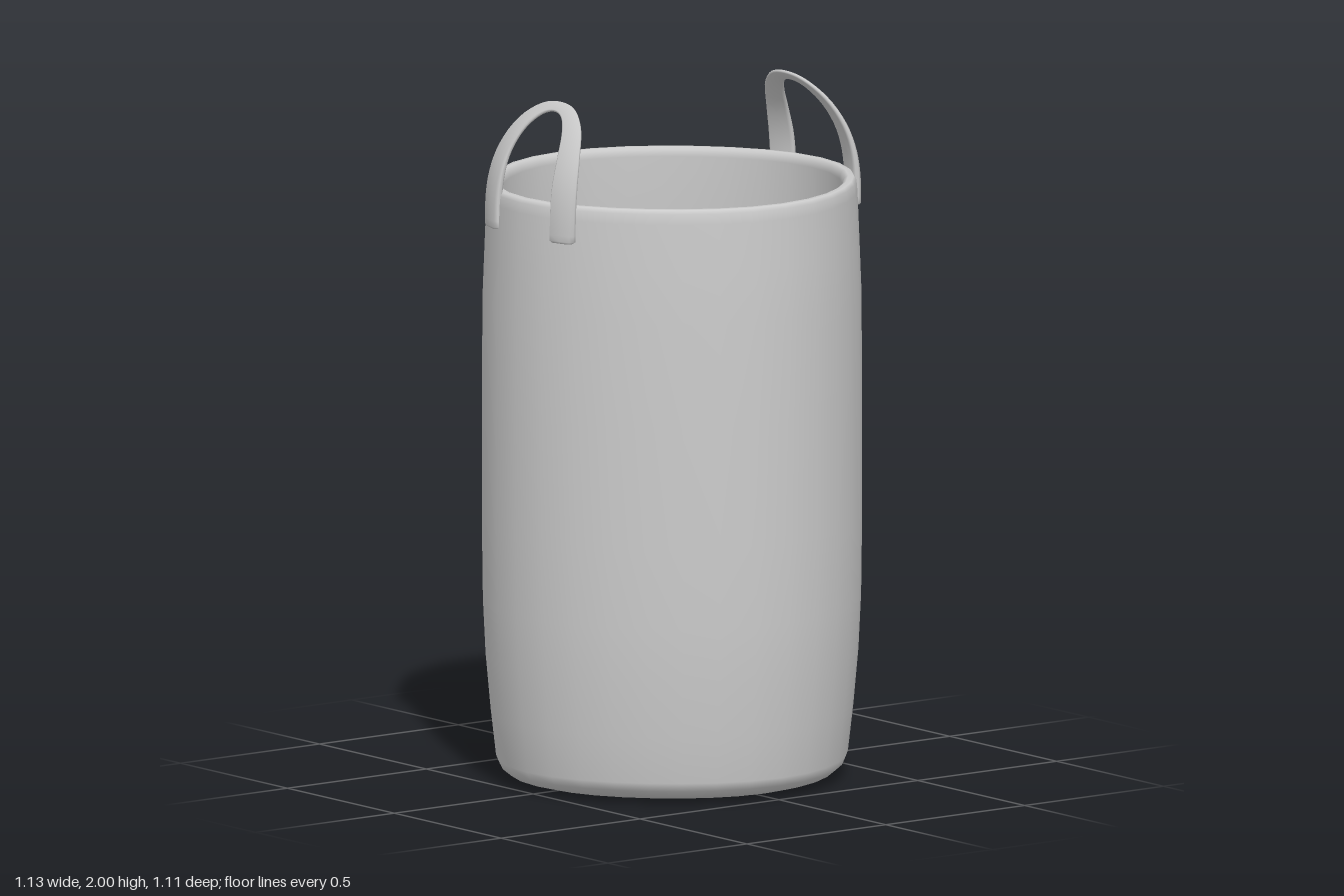
import * as THREE from 'three';
import { mergeVertices } from 'three/addons/utils/BufferGeometryUtils.js';

const material = new THREE.MeshStandardMaterial({ color: 0xcccccc, side: THREE.DoubleSide });

// Hollow bin: outer wall, rolled rim, inner wall and floor in one profile
function createBasket() {
  const profile = [
    [0, 0], [0.36, 0], [0.44, 0.008], [0.485, 0.02], [0.51, 0.04], [0.521, 0.065],
    [0.537, 0.2], [0.552, 0.36], [0.56, 0.52], [0.563, 0.75], [0.563, 1.1], [0.561, 1.4],
    [0.555, 1.55], [0.549, 1.69], [0.546, 1.72], [0.538, 1.731], [0.522, 1.732],
    [0.511, 1.725], [0.506, 1.705], [0.513, 1.55], [0.52, 1.4], [0.523, 1.1], [0.523, 0.75],
    [0.517, 0.52], [0.507, 0.36], [0.49, 0.2], [0.47, 0.1], [0.45, 0.065], [0.42, 0.05], [0, 0.045],
  ].map(([r, y]) => new THREE.Vector2(r, y));
  let geometry = new THREE.LatheGeometry(profile, 32);

  // Slightly squared plan: pulled in at the diagonals, a touch shallower in z
  const p = geometry.attributes.position;
  for (let i = 0; i < p.count; i++) {
    const x = p.getX(i), z = p.getZ(i);
    const pull = 1 - 0.033 * Math.sin(2 * Math.atan2(x, z)) ** 2;
    p.setXYZ(i, x * pull, p.getY(i), z * pull * 0.982);
  }
  geometry.deleteAttribute('uv');
  geometry.deleteAttribute('normal');
  geometry = mergeVertices(geometry);
  geometry.computeVertexNormals();

  const mesh = new THREE.Mesh(geometry, material);
  mesh.name = 'basket';
  return mesh;
}

// Symmetrical arch through (z, y) points given from one foot to the top
function archCurve(half) {
  const mirrored = half.slice(0, -1).reverse().map(([z, y]) => [-z, y]);
  return new THREE.CatmullRomCurve3([...half, ...mirrored].map(([z, y]) => new THREE.Vector3(0, y, z)));
}

// Point on the inward-leaning sheet that the strap follows, sunk by depth
function onSheet(z, y, depth) {
  const lean = 0.155, power = 2.7, height = 0.37;
  const s = Math.max(0, (y - 1.63) / height);
  const slope = lean * power * s ** (power - 1) / height;
  const normal = new THREE.Vector3(1, slope, 1.8 * z).normalize();
  return new THREE.Vector3(0.56 - lean * s ** power - 0.9 * z * z, y, z).addScaledVector(normal, -depth);
}

// Flat strap bent into an arch, made of rounded cross-sections
function createHandleGeometry() {
  const outer = archCurve([[0.204, 1.63], [0.206, 1.7], [0.202, 1.78], [0.185, 1.86], [0.143, 1.94], [0.075, 1.988], [0, 2]]);
  const inner = archCurve([[0.123, 1.63], [0.124, 1.7], [0.12, 1.78], [0.11, 1.86], [0.085, 1.925], [0.046, 1.964], [0, 1.976]]);
  const section = [[0, 0.3], [0.08, 0], [0.5, 0], [0.92, 0], [1, 0.3], [1, 0.7], [0.92, 1], [0.5, 1], [0.08, 1], [0, 0.7]];
  const n = section.length, steps = 48;
  const positions = [], index = [];

  function addRing(t, shrink, drop) {
    const a = outer.getPoint(t), b = inner.getPoint(t);
    const thickness = 0.03 - 0.02 * Math.sin(Math.PI * t);
    for (const [w, d] of section) {
      const p = a.clone().lerp(b, 0.5 + (w - 0.5) * shrink);
      const depth = (0.5 + (d - 0.5) * shrink) * thickness;
      const q = onSheet(p.z, p.y, depth);
      positions.push(q.x, q.y - drop, q.z);
    }
  }

  // Narrowed rings round off both feet
  addRing(0, 0.05, 0.007);
  addRing(0, 0.8, 0.006);
  for (let i = 0; i <= steps; i++) addRing(i / steps, 1, 0);
  addRing(1, 0.8, 0.006);
  addRing(1, 0.05, 0.007);

  const rings = steps + 5;
  for (let i = 0; i < rings - 1; i++) {
    for (let j = 0; j < n; j++) {
      const a = i * n + j, b = i * n + (j + 1) % n;
      index.push(a, a + n, b, b, a + n, b + n);
    }
  }
  const geometry = new THREE.BufferGeometry();
  geometry.setAttribute('position', new THREE.Float32BufferAttribute(positions, 3));
  geometry.setIndex(index);
  geometry.computeVertexNormals();
  return geometry;
}

export function createModel() {
  const model = new THREE.Group();
  model.name = 'handledBasket';
  model.add(createBasket());

  // One handle on each side, facing each other
  const geometry = createHandleGeometry();
  for (const [name, angle] of [['leftHandle', 0], ['rightHandle', Math.PI]]) {
    const handle = new THREE.Mesh(geometry, material);
    handle.name = name;
    handle.rotation.y = angle;
    handle.position.z = 0.005;
    model.add(handle);
  }
  return model;
}
